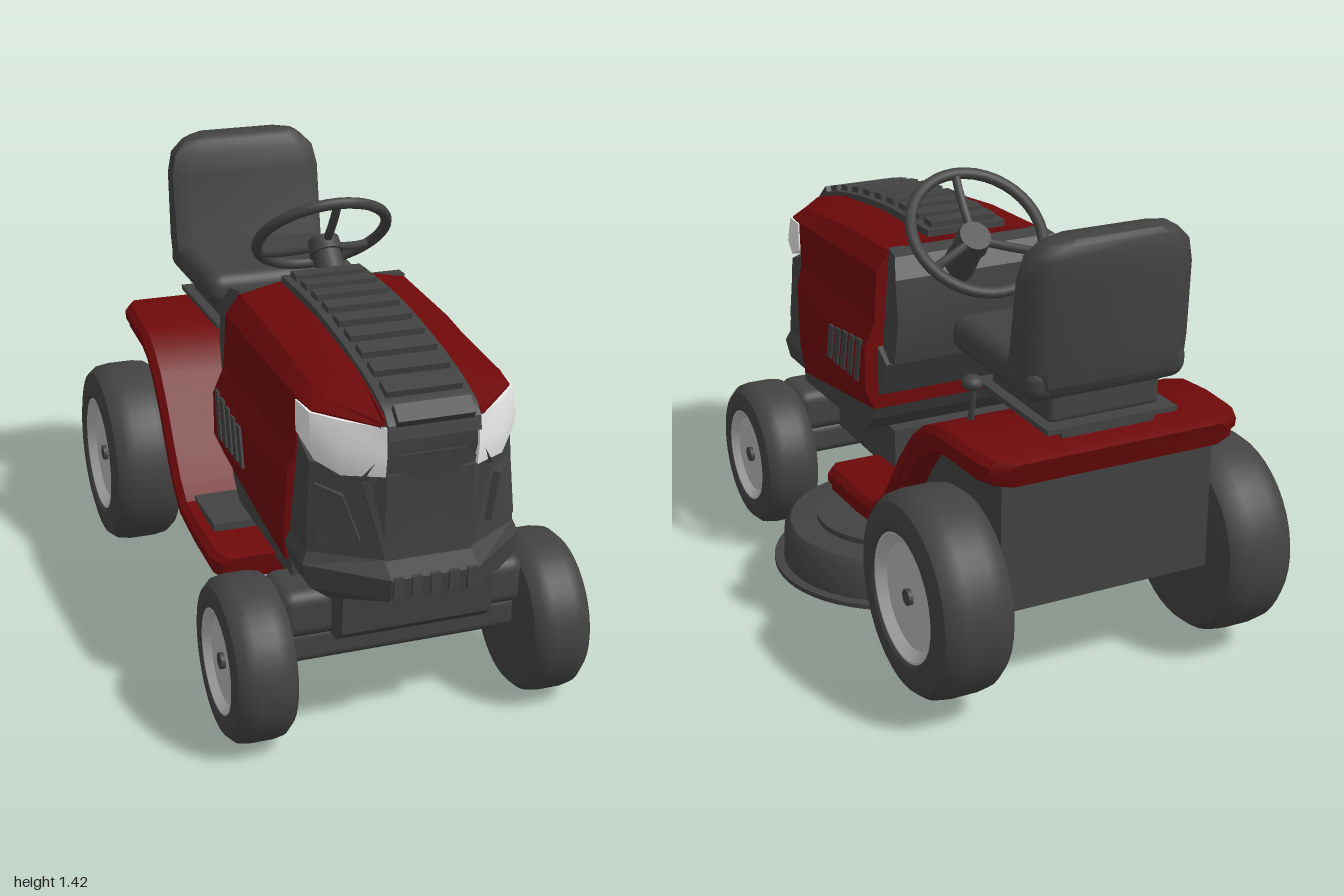
import * as THREE from 'three';
import { toCreasedNormals } from 'three/addons/utils/BufferGeometryUtils.js';
import { RoundedBoxGeometry } from 'three/addons/geometries/RoundedBoxGeometry.js';

const material = (name, color) => {
  const m = new THREE.MeshStandardMaterial({ color });
  m.name = name;
  return m;
};

// Skin closed rings of [x, y, z] points and cap both ends
function loft(rings, crease = 0.5) {
  const n = rings[0].length, tris = [];
  const tri = (a, b, c) => tris.push([a, b, c]);
  for (let i = 0; i < rings.length - 1; i++) {
    for (let j = 0; j < n; j++) {
      const k = (j + 1) % n, A = rings[i], B = rings[i + 1];
      tri(A[j], A[k], B[k]);
      tri(A[j], B[k], B[j]);
    }
  }
  const last = rings[rings.length - 1];
  const mid = r => [0, 1, 2].map(c => r.reduce((s, p) => s + p[c], 0) / n);
  for (let j = 0; j < n; j++) {
    const k = (j + 1) % n;
    tri(mid(rings[0]), rings[0][k], rings[0][j]);
    tri(mid(last), last[j], last[k]);
  }
  // Face outwards whichever way the rings were listed
  const v = p => new THREE.Vector3(...p);
  const volume = tris.reduce((s, t) => s + v(t[0]).dot(v(t[1]).cross(v(t[2]))), 0);
  if (volume < 0) tris.forEach(t => t.reverse());
  const g = new THREE.BufferGeometry();
  g.setAttribute('position', new THREE.Float32BufferAttribute(tris.flat(2), 3));
  return toCreasedNormals(g, crease);
}

// Half section of [x, y] points from bottom to top, mirrored into a ring
const mirrorRing = (half, zOf) => [
  ...half.map(([x, y]) => [x, y, zOf(y)]),
  ...half.slice().reverse().map(([x, y]) => [-x, y, zOf(y)])];

// Side outline of [z, y] points extruded across the width
function sideExtrude(points, halfWidth) {
  const shape = new THREE.Shape(points.map(p => new THREE.Vector2(...p)));
  const g = new THREE.ExtrudeGeometry(shape, { depth: halfWidth * 2, bevelEnabled: false });
  return g.translate(0, 0, -halfWidth).rotateY(-Math.PI / 2);
}

const lathe = (pts, seg = 40) =>
  toCreasedNormals(new THREE.LatheGeometry(pts.map(p => new THREE.Vector2(...p)), seg), 0.6);

export function createModel() {
  const dark = material('charcoal plastic', 0x424242);
  const red = material('red paint', 0x6e090a);
  const grey = material('rim grey', 0xb4b4b4);
  const white = material('headlight white', 0xfafafa);
  const model = new THREE.Group();
  const tractor = new THREE.Group();
  tractor.name = 'tractor';
  tractor.position.x = -0.05;
  model.add(tractor);
  const add = (name, geo, mat, x = 0, y = 0, z = 0, parent = tractor) => {
    const m = new THREE.Mesh(geo, mat);
    m.name = name;
    m.position.set(x, y, z);
    parent.add(m);
    return m;
  };
  const box = (name, w, h, d, x, y, z) => add(name, new THREE.BoxGeometry(w, h, d), dark, x, y, z);

  // Wheels: square-shouldered tyre, dished rim and axle cap
  function wheel(name, side, R, hw, rim, x, y, z) {
    const g = new THREE.Group();
    g.name = name;
    g.position.set(side * x, y, z);
    g.rotation.z = -side * Math.PI / 2;
    tractor.add(g);
    add('tyre', lathe([[0, -hw], [rim, -hw], [R - 0.065, -hw], [R - 0.028, -hw * 0.92], [R - 0.006, -hw * 0.68], [R, -hw * 0.35],
      [R, hw * 0.35], [R - 0.006, hw * 0.68], [R - 0.028, hw * 0.92], [R - 0.065, hw], [rim + 0.01, hw], [rim, hw * 0.94], [rim, hw * 0.5]]), dark, 0, 0, 0, g);
    add('rim', lathe([[rim, hw * 0.94], [rim * 0.97, hw * 0.94], [rim * 0.82, hw * 0.72], [rim * 0.8, hw * 0.72], [0, hw * 0.72]]), grey, 0, 0, 0, g);
    add('axleCap', new THREE.CylinderGeometry(0.025, 0.025, 0.02, 16), dark, 0, hw * 0.75, 0, g);
  }
  for (const s of [-1, 1]) {
    wheel('rearWheel', s, 0.31, 0.116, 0.195, 0.465, 0.355, -0.69);
    wheel('frontWheel', s, 0.248, 0.096, 0.158, 0.455, 0.25, 0.675);
  }

  // Chassis and axles
  add('rearChassis', sideExtrude([[-0.86, 0.77], [-0.86, 0.33], [-0.14, 0.33], [-0.24, 0.42], [-0.36, 0.6], [-0.5, 0.75]], 0.345), dark);
  add('frontChassis', sideExtrude([[0.11, 0.34], [0.82, 0.34], [0.87, 0.38], [0.88, 0.5], [0.11, 0.5]], 0.23), dark);
  box('rearAxle', 0.8, 0.1, 0.1, 0, 0.355, -0.69);
  add('frontAxle', new RoundedBoxGeometry(0.76, 0.15, 0.2, 3, 0.04), dark, 0, 0.405, 0.68);
  add('lowerAxle', new RoundedBoxGeometry(0.76, 0.11, 0.13, 3, 0.03), dark, 0, 0.285, 0.675);

  // Engine side covers and dashboard
  add('engineCover', sideExtrude([[0.06, 0.84], [-0.02, 0.79], [0.1, 0.56], [0.16, 0.5], [0.68, 0.49], [0.68, 0.58], [0.1, 0.68]], 0.315), dark);
  const dash = [[0.05, 1.15, 0.27], [-0.02, 1.14, 0.28], [-0.065, 1.08, 0.3], [-0.08, 0.95, 0.3], [-0.05, 0.8, 0.3], [0.05, 0.78, 0.3]];
  add('dashboard', loft([-1, 1].map(s => dash.map(([z, y, w]) => [s * w, y, z]))), dark);

  // Hood: side panels with a sloping front edge, then the tapering nose cover
  const hood = [
    [[0.33, 0.62], [0.36, 0.69], [0.36, 0.83], [0.325, 0.91], [0.315, 1.08], [0.27, 1.14], [0.14, 1.165]],
    [[0.33, 0.57], [0.355, 0.66], [0.355, 0.83], [0.32, 0.9], [0.315, 1.07], [0.27, 1.125], [0.14, 1.16]],
    [[0.325, 0.53], [0.335, 0.63], [0.33, 0.83], [0.308, 0.9], [0.308, 1.055], [0.265, 1.09], [0.14, 1.125]]];
  add('hood', loft([
    mirrorRing(hood[0], () => 0.045),
    mirrorRing(hood[1], () => 0.4),
    mirrorRing(hood[2], y => 0.65 + Math.min(y - 0.53, 0.42) * 0.14)], 0.3), red);
  add('hoodNose', loft([
    mirrorRing([[0.308, 1.03], [0.308, 1.055], [0.265, 1.09], [0.14, 1.125]], () => 0.705),
    mirrorRing([[0.295, 1.03], [0.295, 1.05], [0.25, 1.075], [0.14, 1.105]], () => 0.8),
    mirrorRing([[0.15, 1.03], [0.15, 1.04], [0.145, 1.05], [0.14, 1.06]], () => 0.95)], 0.3), red);

  // Ribbed strip along the hood
  const path = new THREE.CatmullRomCurve3([[0.05, 1.178], [0.3, 1.178], [0.5, 1.162], [0.75, 1.122], [0.9, 1.08], [0.955, 1.052], [0.968, 1.0]]
    .map(([z, y]) => new THREE.Vector3(0, y, z)));
  const strip = [];
  for (let i = 0; i <= 24; i++) {
    const p = path.getPointAt(i / 24), t = path.getTangentAt(i / 24);
    strip.push([[-0.135, 0.008], [0.135, 0.008], [0.135, -0.03], [-0.135, -0.03]]
      .map(([x, o]) => [x, p.y + o * t.z, p.z - o * t.y]));
  }
  add('hoodStrip', loft(strip), dark);
  for (let i = 0; i < 10; i++) {
    const u = 0.05 + i * 0.0985, p = path.getPointAt(u), t = path.getTangentAt(u);
    const slat = box('hoodSlat', 0.225, 0.04, 0.055, 0, p.y + 0.007 * t.z, p.z - 0.007 * t.y);
    slat.rotation.x = Math.atan2(-t.y, t.z);
  }

  // Slanted side vents
  for (const s of [-1, 1]) {
    for (let i = 0; i < 5; i++) {
      const z = 0.1 + i * 0.056, h = 0.15 - i * 0.007;
      const vent = sideExtrude([[z, 0.7], [z + 0.035, 0.7], [z + 0.005, 0.7 + h], [z - 0.03, 0.7 + h]], 0.004);
      add('sideVent', vent, dark, s * 0.359);
    }
  }

  // Grille and bumper: plan outlines stacked upwards
  const plan = (y, w, z1, z2, zb, lift = 0) => [[-w, y + lift, zb], [-w, y + lift * 0.2, z1], [-0.13, y, z2],
    [0.13, y, z2], [w, y + lift * 0.2, z1], [w, y + lift, zb]];
  add('grille', loft([
    plan(0.49, 0.26, 0.84, 0.91, 0.66), plan(0.525, 0.31, 0.83, 0.985, 0.65), plan(0.595, 0.33, 0.82, 0.998, 0.66),
    plan(0.63, 0.315, 0.81, 0.935, 0.66), plan(0.89, 0.302, 0.8, 0.95, 0.69, 0.05)], 0.3), dark);
  add('grilleCentre', loft([
    [[-0.2, 0.87, 0.7], [-0.2, 0.87, 0.918], [0.2, 0.87, 0.918], [0.2, 0.87, 0.7]],
    [[-0.15, 0.95, 0.7], [-0.15, 0.95, 0.953], [0.15, 0.95, 0.953], [0.15, 0.95, 0.7]],
    [[-0.15, 1.04, 0.7], [-0.15, 1.04, 0.95], [0.15, 1.04, 0.95], [0.15, 1.04, 0.7]]]), dark);
  // Tapered centre panel
  const panel = z => [[-0.13, 0.63, z - 0.008], [0.13, 0.63, z - 0.008], [0.19, 0.86, z - 0.03], [0.1, 0.95, z + 0.008], [-0.1, 0.95, z + 0.008], [-0.19, 0.86, z - 0.03]];
  add('grillePanel', loft([panel(0.925), panel(0.952)]), dark);
  for (let i = -2; i <= 2; i++) box('bumperTooth', 0.03, 0.06, 0.03, i * 0.055, 0.57, 0.988);
  for (const s of [-1, 1]) {
    const insert = (o) => [[0.19, 0.69, 0.908], [0.295, 0.67, 0.832], [0.29, 0.84, 0.81], [0.23, 0.82, 0.876]]
      .map(([x, y, z]) => [s * (x + o * 0.5), y, z + o]);
    add('grilleInsert', loft([insert(-0.01), insert(0.012)]), dark);
    // Headlights
    add('headlight', loft([
      [[0.135, 0.89, 0.955], [0.24, 0.882, 0.885], [0.295, 0.91, 0.82], [0.31, 0.955, 0.71], [0.135, 0.93, 0.71]],
      [[0.135, 0.96, 0.966], [0.24, 0.96, 0.9], [0.308, 0.96, 0.82], [0.312, 0.98, 0.71], [0.135, 0.96, 0.71]],
      [[0.135, 1.035, 0.962], [0.235, 1.04, 0.88], [0.303, 1.045, 0.805], [0.312, 1.05, 0.71], [0.135, 1.04, 0.71]]]
      .map(r => r.map(([x, y, z]) => [s * x, y, z]))), white);
  }

  // Footboards sweeping up into the rear fenders, with a lip beneath
  const sweep = [[0.26, 0.355, 0.4], [0.21, 0.365, 0.43], [0, 0.372, 0.43], [-0.13, 0.385, 0.43], [-0.2, 0.44, 0.43],
    [-0.27, 0.53, 0.43], [-0.34, 0.635, 0.43], [-0.42, 0.73, 0.43], [-0.5, 0.79, 0.43], [-0.6, 0.825, 0.43],
    [-0.72, 0.835, 0.43], [-0.84, 0.835, 0.425], [-0.9, 0.83, 0.4], [-0.93, 0.82, 0.35]];
  // Section points are [inset from the edge, offset from the top]
  const sheet = (section) => loft(sweep.map(([z, y, w], i) => {
    const a = sweep[Math.max(i - 1, 0)], b = sweep[Math.min(i + 1, sweep.length - 1)];
    const dz = a[0] - b[0], dy = b[1] - a[1], l = Math.hypot(dz, dy);
    return mirrorRing(section, () => 0).map(([inset, o], j) =>
      [j < section.length ? w - inset : -w - inset, y + o * dz / l, z + o * dy / l]);
  }), 0.5);
  add('fender', sheet([[0.01, -0.05], [0, -0.045], [0, -0.018], [0.02, 0]]), red);
  add('fenderLip', sheet([[0.02, -0.08], [0.012, -0.075], [0.012, -0.05], [0.04, -0.04]]), red);
  box('pedal', 0.15, 0.025, 0.25, -0.305, 0.385, -0.035);

  // Seat on its bracket
  box('seatPlate', 0.42, 0.015, 0.45, 0, 0.87, -0.65);
  box('seatRail', 0.3, 0.05, 0.38, 0, 0.85, -0.66);
  add('seatBase', new RoundedBoxGeometry(0.36, 0.11, 0.36, 2, 0.02), dark, 0, 0.925, -0.65);
  add('seatCushion', new RoundedBoxGeometry(0.52, 0.115, 0.51, 5, 0.05), dark, 0.007, 1.01, -0.615);
  const backRing = (y, w, zf, zb) => [[-w, y, zb + 0.04], [-w, y, zf - 0.02], [-w + 0.05, y, zf],
    [w - 0.05, y, zf], [w, y, zf - 0.02], [w, y, zb + 0.04], [w - 0.05, y, zb], [-w + 0.05, y, zb]];
  add('seatBack', loft([
    backRing(0.965, 0.22, -0.7, -0.86), backRing(1.0, 0.255, -0.7, -0.875), backRing(1.08, 0.26, -0.73, -0.88), backRing(1.3, 0.26, -0.765, -0.89),
    backRing(1.37, 0.245, -0.777, -0.895), backRing(1.41, 0.205, -0.79, -0.895), backRing(1.425, 0.18, -0.805, -0.885)], 0.9), dark, 0.007);

  // Height lever beside the seat
  add('leverStick', new THREE.CylinderGeometry(0.01, 0.01, 0.14, 8), dark, 0.305, 0.875, -0.6).rotation.x = -0.15;
  add('leverKnob', new THREE.SphereGeometry(0.033, 14, 10).scale(1, 0.7, 1), dark, 0.31, 0.945, -0.61);

  // Steering wheel and column
  const steering = new THREE.Group();
  steering.name = 'steeringWheel';
  steering.position.set(0.072, 1.235, -0.17);
  steering.rotation.x = -0.74;
  tractor.add(steering);
  add('wheelRing', new THREE.TorusGeometry(0.212, 0.018, 10, 40).rotateX(Math.PI / 2), dark, 0, 0, 0, steering);
  add('wheelHub', new THREE.CylinderGeometry(0.05, 0.055, 0.05, 20), dark, 0, -0.045, 0, steering);
  add('column', new THREE.CylinderGeometry(0.045, 0.055, 0.17, 20), dark, 0, -0.13, 0, steering);
  for (const a of [0.5, Math.PI - 0.5, Math.PI * 1.5]) {
    const end = new THREE.Vector3(Math.cos(a) * 0.208, 0, -Math.sin(a) * 0.208);
    const curve = new THREE.QuadraticBezierCurve3(new THREE.Vector3(0, -0.04, 0),
      new THREE.Vector3(end.x * 0.6, -0.03, end.z * 0.6), end);
    add('wheelSpoke', new THREE.TubeGeometry(curve, 8, 0.014, 8), dark, 0, 0, 0, steering);
  }

  // Mower deck, offset to the left
  add('mowerDeck', lathe([[0, 0.12], [0.39, 0.12], [0.39, 0.135], [0.36, 0.135], [0.355, 0.235], [0.335, 0.262], [0.25, 0.267],
    [0.25, 0.285], [0.12, 0.29], [0.12, 0.34], [0, 0.34]], 56), dark, 0.237, 0, 0, model);
  return model;
}
